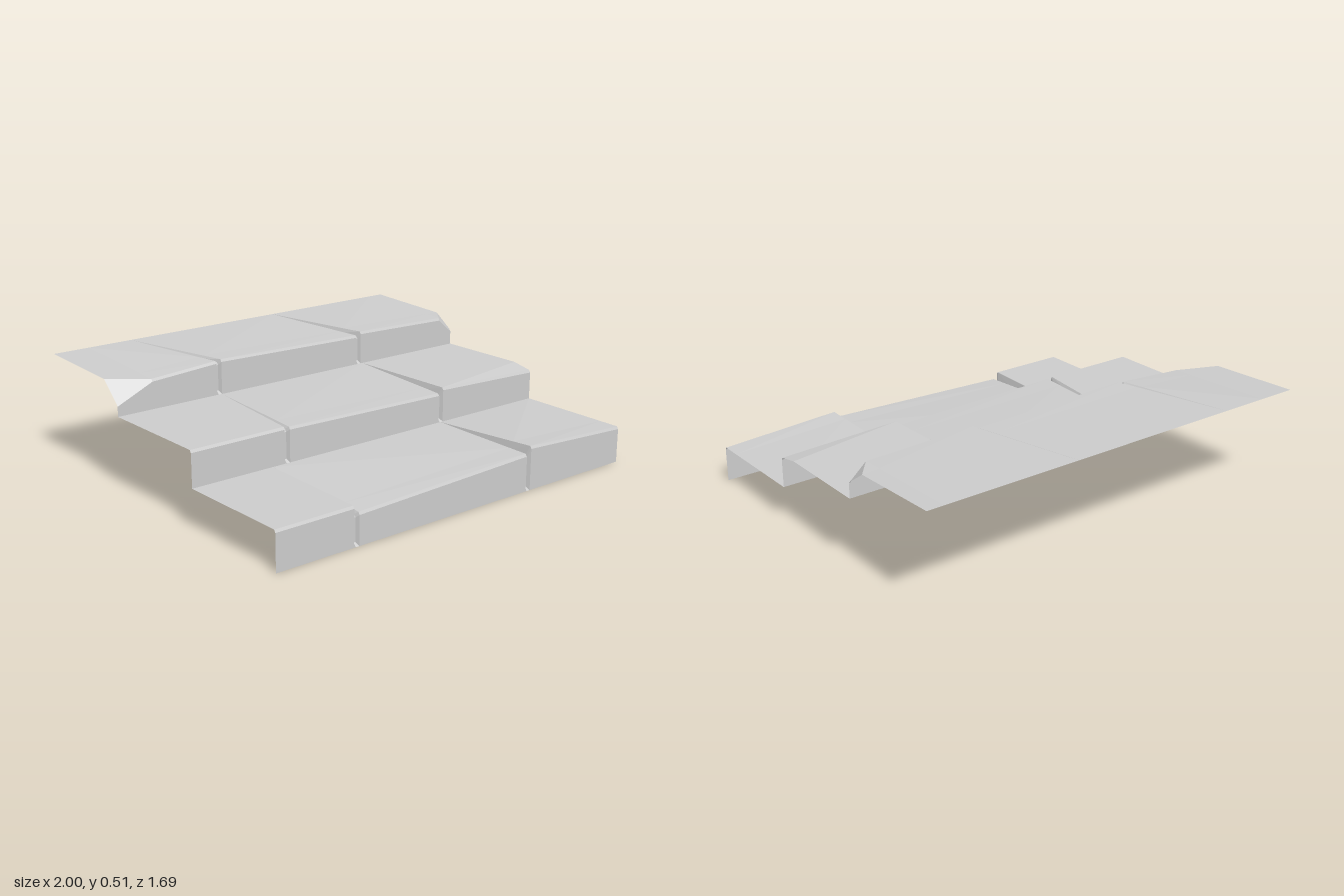
import * as THREE from 'three';

const BEVEL = 0.012, BREAK = 0.19; // front edge bevel, where the tread may bend

const lerp = THREE.MathUtils.lerp;

// one cross-section: x and height at the front edge, x at the back edge
const col = (x, y, xb = x, recess = 0, midY = null) => ({ x, y, xb, recess, midY });

// a narrow V groove between two slabs, closing towards the back
function joint(x, xb, yLeft, yRight, w = 0.014) {
  const low = Math.min(yLeft, yRight) - 0.012;
  return [
    col(x - w, yLeft, xb - 0.003),
    col(x - w * 0.35, low, xb - 0.001, 0.015),
    col(x + w * 0.35, low, xb + 0.001, 0.015),
    col(x + w, yRight, xb + 0.003),
  ];
}

// riser, bevelled edge and tread lofted through the columns
function stepGeometry({ y0, y1, zf, zb, columns }) {
  const sections = columns.map(({ x, y, xb, recess, midY }) => {
    const z = zf - recess;
    return [
      [x, y0, zf],
      [x, y0 + 0.015, z],
      [x, y - BEVEL, z],
      [x, y, z - BEVEL * 0.6],
      [lerp(x, xb, BREAK), midY ?? lerp(y, y1, BREAK), lerp(zf, zb, BREAK)],
      [xb, y1, zb],
    ];
  });
  const pos = [];
  for (let i = 0; i < sections.length - 1; i++) {
    for (let j = 0; j < sections[i].length - 1; j++) {
      const a = sections[i][j], b = sections[i + 1][j];
      const c = sections[i + 1][j + 1], d = sections[i][j + 1];
      // split along the higher diagonal so worn corners stay convex
      const tris = a[1] + c[1] > b[1] + d[1] ? [a, b, c, a, c, d] : [a, b, d, b, c, d];
      pos.push(...tris.flat());
    }
  }
  const geo = new THREE.BufferGeometry();
  geo.setAttribute('position', new THREE.Float32BufferAttribute(pos, 3));
  geo.computeVertexNormals();
  return geo;
}

export function createModel() {
  const group = new THREE.Group();
  const material = new THREE.MeshStandardMaterial({
    color: 0xcccccc, flatShading: true, side: THREE.DoubleSide,
  });

  const steps = [
    {
      name: 'lowerStep', y0: 0, y1: 0.18, zf: 0.845, zb: 0.282,
      columns: [
        col(-1, 0.178),
        ...joint(-0.597, -0.59, 0.178, 0.145),
        ...joint(0.393, 0.393, 0.175, 0.205),
        col(1, 0.173),
      ],
    },
    {
      name: 'middleStep', y0: 0.18, y1: 0.347, zf: 0.282, zb: -0.287,
      columns: [
        col(-1, 0.345),
        ...joint(-0.51, -0.453, 0.345, 0.34),
        ...joint(0.393, 0.395, 0.322, 0.345),
        col(1, 0.325, 1, 0, 0.345), // sunken front corner
      ],
    },
    {
      name: 'upperStep', y0: 0.347, y1: 0.515, zf: -0.287, zb: -0.845,
      columns: [
        col(-1, 0.405, -1, 0, 0.495), // chipped left corner
        col(-0.82, 0.485),
        ...joint(-0.465, -0.59, 0.507, 0.511),
        ...joint(0.37, 0.257, 0.494, 0.508),
        col(0.92, 0.495),
        col(1, 0.425, 1, 0, 0.495), // chipped right corner
      ],
    },
  ];

  for (const step of steps) {
    const mesh = new THREE.Mesh(stepGeometry(step), material);
    mesh.name = step.name;
    group.add(mesh);
  }
  return group;
}
